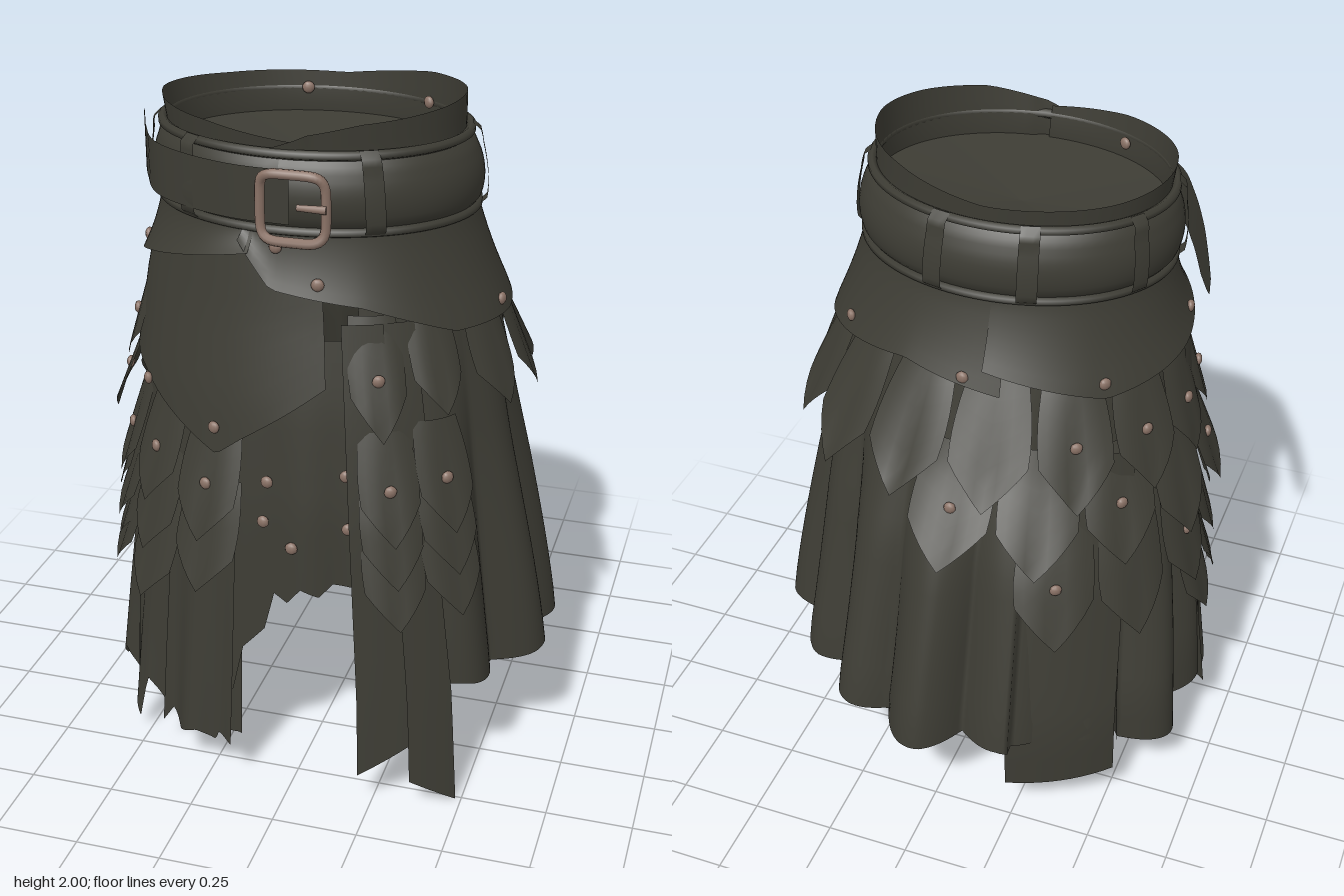
import * as THREE from 'three';

const cloth = new THREE.MeshStandardMaterial({ color: 0x3d3c34, side: THREE.DoubleSide });
cloth.name = 'darkLeather';
const metal = new THREE.MeshStandardMaterial({ color: 0x8a7266 });
metal.name = 'copperMetal';

// Body ellipse by height: y, centre x, centre z, radius x, radius z
const BODY = [
  [0, 0, 0, .63, .58], [.35, 0, 0, .61, .57], [.9, -.01, .06, .55, .49], [1.2, -.02, .1, .52, .42],
  [1.45, -.03, .105, .485, .375], [1.68, -.04, .12, .435, .335], [1.85, -.045, .125, .415, .315], [2, -.055, .13, .425, .33],
];
const { lerp, smoothstep } = THREE.MathUtils;

// Piecewise linear value in column c of rows sorted by column 0
function table(rows, x, c = 1) {
  if (x <= rows[0][0]) return rows[0][c];
  for (let i = 1; i < rows.length; i++) {
    const a = rows[i - 1], b = rows[i];
    if (x <= b[0]) return lerp(a[c], b[c], (x - a[0]) / (b[0] - a[0]));
  }
  return rows[rows.length - 1][c];
}

// Point on the body: angle in degrees from the front towards +x, height, distance outwards
function onBody(deg, y, off = 0) {
  const t = deg * Math.PI / 180;
  return new THREE.Vector3(
    table(BODY, y, 1) + (table(BODY, y, 3) + off) * Math.sin(t), y,
    table(BODY, y, 2) + (table(BODY, y, 4) + off) * Math.cos(t));
}
const angleAt = (x, y) => Math.asin((x - table(BODY, y, 1)) / table(BODY, y, 3)) * 180 / Math.PI;

// Surface from a rule fn(u, v); v runs downwards
function sheet(name, fn, nu, nv) {
  const pos = [], idx = [];
  for (let j = 0; j <= nv; j++) for (let i = 0; i <= nu; i++) pos.push(...fn(i / nu, j / nv).toArray());
  for (let j = 0; j < nv; j++) for (let i = 0; i < nu; i++) {
    const a = j * (nu + 1) + i, b = a + nu + 1;
    idx.push(a, b, a + 1, a + 1, b, b + 1);
  }
  const g = new THREE.BufferGeometry();
  g.setAttribute('position', new THREE.Float32BufferAttribute(pos, 3));
  g.setIndex(idx);
  g.computeVertexNormals();
  const m = new THREE.Mesh(g, cloth);
  m.name = name;
  return m;
}

// Panel wrapped on the body; top and bottom are [angle, y] lists
function panel(name, t0, t1, top, bottom, off, nu = 40, nv = 10) {
  return sheet(name, (u, v) => {
    const t = lerp(t0, t1, u);
    const y = lerp(table(top, t), table(bottom, t), v);
    return onBody(t, y, off(v, t, y));
  }, nu, nv);
}

export function createModel() {
  const root = new THREE.Group();
  root.name = 'beltedSkirt';
  const add = m => root.add(m);
  const level = y => [[0, y]];

  const rivets = new THREE.Group();
  rivets.name = 'rivets';
  add(rivets);
  const rivetGeo = new THREE.SphereGeometry(.018, 10, 8);
  function rivet(t, y, off) {
    const m = new THREE.Mesh(rivetGeo, metal);
    m.name = 'rivet';
    m.position.copy(onBody(t, y, off));
    m.rotation.y = t * Math.PI / 180;
    m.scale.z = .65;
    rivets.add(m);
  }

  // Pleated skirt with an open front; flatter below the straps and drawn in at the back left
  const drawnIn = [[24, 0], [70, .025], [90, .01], [105, -.02], [125, -.07], [145, -.06], [165, -.015], [180, 0], [200, -.02], [240, 0]];
  add(panel('pleatedSkirt', 24, 345, level(1.6),
    [[24, .33], [45, .36], [60, .33], [75, .36], [90, .33], [110, .34], [130, .31], [150, .33], [170, .31], [200, .33],
      [236, .3], [240, .2], [260, .17], [280, .2], [300, .17], [345, .13]],
    (v, t, y) => {
      const fall = smoothstep(1.5 - y, 0, 1.1);
      const amp = fall * (t > 315 || (t > 204 && t < 238) ? .35 : 1);
      return .005 + fall * table(drawnIn, t) + .1 * amp * (Math.abs(Math.cos(t * Math.PI / 180 * 7 + .35)) - .45);
    }, 288, 18));

  // Torn front pieces
  add(panel('centreFrontPiece', -22, 26, level(1.4),
    [[-22, .2], [-16, .3], [-13, .45], [-7, .52], [-4, .64], [0, .62], [4, .67], [9, .65], [13, .69], [18, .68], [26, .73]],
    (v, t) => .012 + .008 * Math.sin(t * .3) * v, 48, 12));
  add(panel('tornSidePanel', -84, -40, level(1.15),
    [[-84, .2], [-76, .17], [-70, .12], [-66, .18], [-61, .13], [-57, .17], [-48, .05], [-46, .2], [-40, .12]],
    (v, t) => .02 + v * (.04 + .025 * Math.sin(t * .35)), 60, 12));
  add(panel('tornFrontPanel', -39, -14, level(1.2),
    [[-39, .09], [-36, .15], [-31, .11], [-25, .14], [-20, .12], [-19, .15], [-14, .14]],
    (v, t) => .02 + v * (.04 + .015 * Math.sin(t * .4)), 40, 12));

  // Long straps, front and back
  add(panel('frontStrap', 18, 31, level(1.45), [[18, .11], [31, .2]], v => .03 + .05 * v, 10, 12));
  add(panel('frontStrapOuter', 30, 41.5, level(1.45), [[30, .09], [41.5, 0]], v => .025 + .075 * v, 10, 12));
  add(panel('backStrap', 203, 235, level(1.25), [[203, .14], [235, .15]], (v, t) => .02 - .045 * v + (t - 203) * .0014, 10, 12));

  // Front apron with a pointed hem
  add(panel('frontApron', -92, 13, level(1.68), [[-92, 1.26], [-56, 1.2], [-20, 1.05], [-12, 1.11], [0, 1.19], [13, 1.28]],
    v => .016 + .028 * v, 50, 10));

  // Hip yoke in two overlapping parts
  add(panel('yokeLeft', -14, 192, level(1.7),
    [[-14, 1.66], [-3, 1.54], [25, 1.5], [55, 1.41], [90, 1.4], [135, 1.45], [160, 1.48], [192, 1.43]],
    v => .016 + .03 * v * v, 80, 8));
  add(panel('yokeRight', 186, 350, level(1.7),
    [[186, 1.5], [225, 1.42], [265, 1.47], [300, 1.54], [350, 1.63]],
    v => .016 + .034 * v * v, 60, 8));

  // Waist collar overlapping at the front
  add(panel('waistCollar', -6, 364,
    [[-6, 1.9], [10, 1.945], [30, 1.975], [60, 1.99], [90, 2], [140, 1.985], [180, 1.945], [230, 1.95], [280, 1.97], [330, 1.955], [364, 1.925]],
    level(1.58), (v, t) => (t < 10 ? .012 : 0), 90, 8));

  // Lining that closes the waist
  add(sheet('waistLining', (u, v) => {
    const p = onBody(u * 360, 1.83, .01);
    return p.lerp(new THREE.Vector3(-.045, 1.79, .125), v);
  }, 90, 4));
  for (const [t, y] of [[196, 1.9], [140, 1.9], [328, 1.88]]) rivet(t, y, -.012);

  // Scale flaps: slightly domed pentagons with a pointed tip, each lifted at its end
  const flaps = new THREE.Group();
  flaps.name = 'scaleFlaps';
  add(flaps);
  function flap(t, top, len, lift, half, base, stud) {
    const spread = half / .5 * 180 / Math.PI;
    const off = (s, v) => base + lift * v + .028 * (1 - s * s) * (.3 + .7 * v);
    flaps.add(sheet('scaleFlap', (u, v) => {
      const s = u * 2 - 1;
      const y = top - len * v * (1 - .36 * Math.abs(s));
      return onBody(t + s * spread * (.88 + .12 * Math.sin(v * 2.6)), y, off(s, v));
    }, 8, 6));
    if (stud) rivet(t, top - len * .5, off(0, .5) + .004);
  }
  // Upper ring under the yoke
  for (const [t, len] of [[28, .33], [47, .27], [72, .3], [97, .33], [120, .34], [143, .36], [167, .34], [191, .33],
    [215, .34], [239, .33], [263, .33], [285, .3]]) {
    const back = Math.max(0, -Math.cos(t * Math.PI / 180));
    flap(t, 1.47, len, .035 + .06 * back, t < 50 ? .075 : .098, .012, t > 200 || t === 28);
  }
  // Lower rings at the back and right side
  for (let i = 0; i < 5; i++) flap(182 + i * 24, 1.27, .32 + .02 * Math.sin(i * 3), .075, .1, .02, i % 2 === 0);
  for (let i = 0; i < 4; i++) flap(213 + i * 24, 1.06, .35 + .02 * Math.sin(i * 2), .05, .1, .025, i % 2 === 0);
  for (let i = 0; i < 2; i++) flap(270 + i * 20, .86, .3, .05, .085, .025, false);
  // Layered columns at the front
  for (const [t, drop, layers] of [[-66, .02, 3], [-43, 0, 3], [-22, .04, 2]])
    for (let k = 0; k < layers; k++) flap(t, 1.17 - drop - k * .16, .33, .06, .088, .012 + k * .006, k === 0);
  for (const [t, drop] of [[29, .02], [45, 0]])
    for (let k = 0; k < 3; k++) flap(t, 1.18 - drop - k * .13, .31, .045, .072, .035, k === 0);

  // Padded belt with corded edges
  add(panel('belt', 0, 360, level(1.885), level(1.695), v => .008 + .034 * Math.sin(Math.PI * v) ** .6, 80, 10));
  for (const y of [1.895, 1.69]) {
    const pts = Array.from({ length: 40 }, (_, i) => onBody(i * 9, y, .012));
    const cord = new THREE.Mesh(new THREE.TubeGeometry(new THREE.CatmullRomCurve3(pts, true), 100, .014, 6, true), cloth);
    cord.name = 'beltCord';
    add(cord);
  }

  // Loose belt tail leaving the right side
  const tail = new THREE.CatmullRomCurve3([
    onBody(4, 1.79, .048), onBody(-15, 1.79, .048), onBody(-35, 1.79, .05), onBody(-55, 1.79, .06),
    new THREE.Vector3(-.52, 1.79, .2), new THREE.Vector3(-.59, 1.785, .04), new THREE.Vector3(-.65, 1.78, -.11)]);
  add(sheet('beltTail', (u, v) => {
    const p = tail.getPoint(u);
    const h = .074 * Math.min(1, Math.sqrt(Math.max(0, (1.02 - u) / .2)));
    p.y += lerp(h, -h, v);
    return p;
  }, 40, 4));

  // Belt loops
  for (const t of [32, -36, 100, 165, 198, -78, 240])
    add(panel('beltLoop', t - 3.5, t + 3.5, level(1.91), level(1.68),
      v => .016 + .034 * Math.sin(Math.PI * v) ** .3, 3, 12));

  // Buckle frame and prong
  const frame = Array.from({ length: 32 }, (_, i) => {
    const a = i / 32 * Math.PI * 2, c = Math.cos(a), s = Math.sin(a);
    return new THREE.Vector3(.09 * Math.sign(c) * Math.abs(c) ** .4, .092 * Math.sign(s) * Math.abs(s) ** .4, -.012 * c * c);
  });
  const buckle = new THREE.Group();
  buckle.name = 'buckle';
  buckle.position.set(.005, 1.77, .52);
  const ring = new THREE.Mesh(new THREE.TubeGeometry(new THREE.CatmullRomCurve3(frame, true), 64, .014, 8, true), metal);
  ring.name = 'buckleFrame';
  const prong = new THREE.Mesh(new THREE.CylinderGeometry(.009, .012, .08, 8), metal);
  prong.name = 'buckleProng';
  prong.rotation.z = Math.PI / 2;
  prong.position.set(.055, .005, 0);
  buckle.add(ring, prong);
  add(buckle);

  // Rivets on the front pieces, given as x, y, distance outwards
  for (const [x, y, o] of [[-.05, 1.65, .03], [.06, 1.56, .04], [-.43, 1.18, .05], [-.2, 1.13, .05],
    [-.06, .99, .022], [-.07, .87, .022], [.01, .8, .022], [.15, 1.03, .03], [.16, .87, .022]])
    rivet(angleAt(x, y), y, o);
  // Rivets on the yoke
  for (const [t, y] of [[83, 1.44], [130, 1.49], [180, 1.47], [225, 1.46], [278, 1.53]]) rivet(t, y, .042);

  return root;
}
